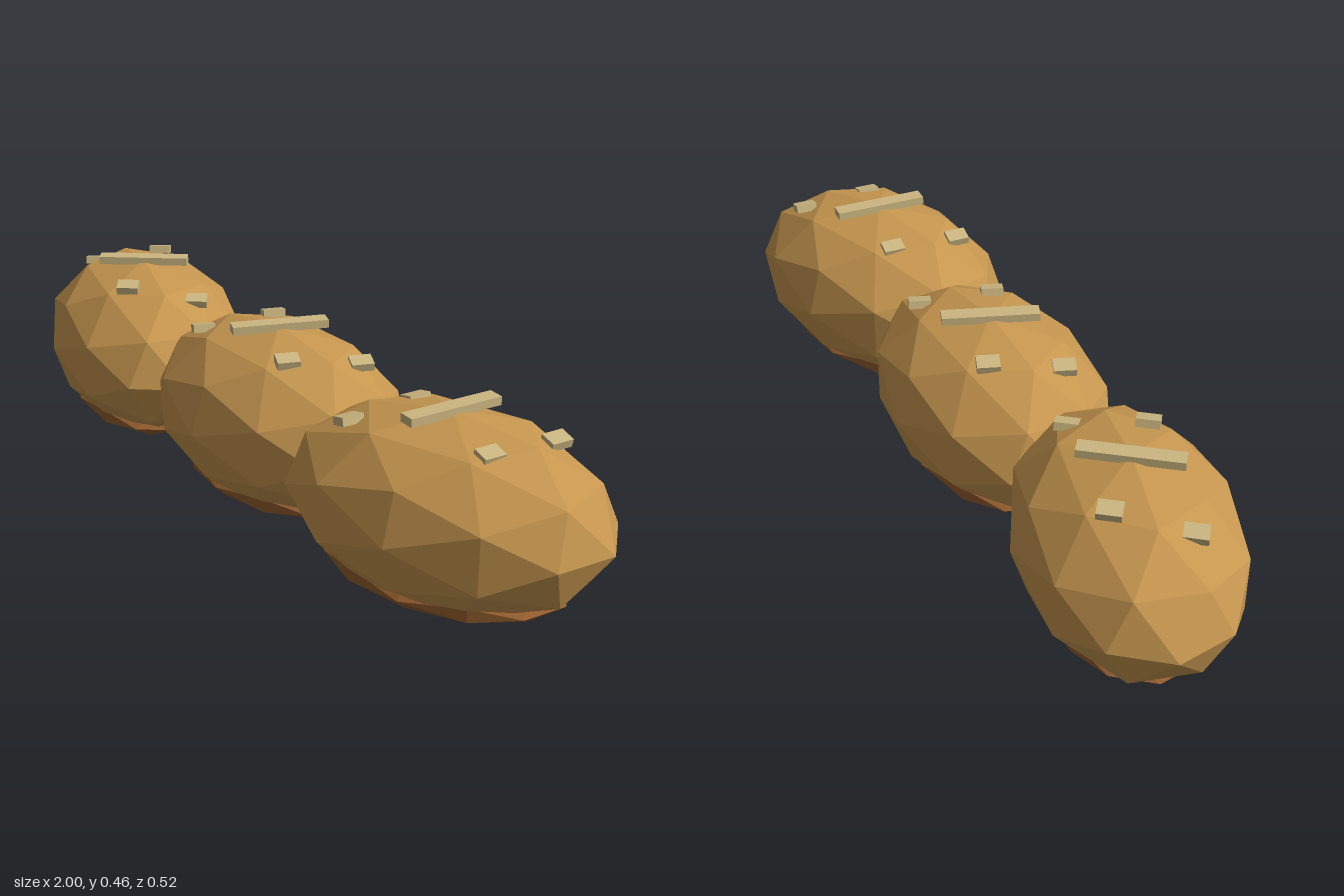
import * as THREE from 'three';

const mat = (name, color) => {
  const m = new THREE.MeshStandardMaterial({ color, flatShading: true });
  m.name = name;
  return m;
};

export function createModel() {
  const crust = mat('golden crust', 0xc6964f);
  const underside = mat('baked underside', 0x935d2e);
  const pale = mat('pale topping', 0xcbb680);

  // Faceted ellipsoid
  const blob = (rx, ry, rz) => {
    const g = new THREE.IcosahedronGeometry(1, 1).scale(rx, ry, rz);
    g.computeVertexNormals();
    return g;
  };
  const bodyGeo = blob(0.4, 0.225, 0.26);
  const baseGeo = blob(0.3, 0.055, 0.195);
  const slashGeo = new THREE.BoxGeometry(0.04, 0.02, 0.236);
  const crumbGeo = new THREE.BoxGeometry(0.04, 0.02, 0.055);

  const add = (parent, name, geo, material, x, y, z) => {
    const mesh = new THREE.Mesh(geo, material);
    mesh.name = name;
    mesh.position.set(x, y, z);
    parent.add(mesh);
    return mesh;
  };

  // One roll: body, darker base, a long slash and four crumbs
  const makeRoll = (name, x, turn, innerY, outerY) => {
    const roll = new THREE.Group();
    roll.name = name;
    roll.position.x = x;
    roll.rotation.y = turn;
    add(roll, 'rollBody', bodyGeo, crust, 0, 0.225, 0);
    add(roll, 'rollBase', baseGeo, underside, 0, 0.07, 0);
    add(roll, 'slash', slashGeo, pale, 0, 0.45, 0).rotation.y = -0.4;
    const crumbs = [
      [-0.14, innerY, -0.083], [0.14, innerY, 0.08],
      [0.207, outerY, -0.087], [-0.207, outerY, 0.083],
    ];
    for (const [cx, cy, cz] of crumbs) {
      add(roll, 'crumb', crumbGeo, pale, cx, cy, cz)
        .rotation.set(0, -0.4, -0.25 * Math.sign(cx));
    }
    return roll;
  };

  const model = new THREE.Group();
  model.name = 'breadRolls';
  model.add(
    makeRoll('rightRoll', -0.618, -0.3, 0.426, 0.392),
    makeRoll('middleRoll', 0, 0, 0.421, 0.398),
    makeRoll('leftRoll', 0.618, 0.3, 0.411, 0.401),
  );
  return model;
}
